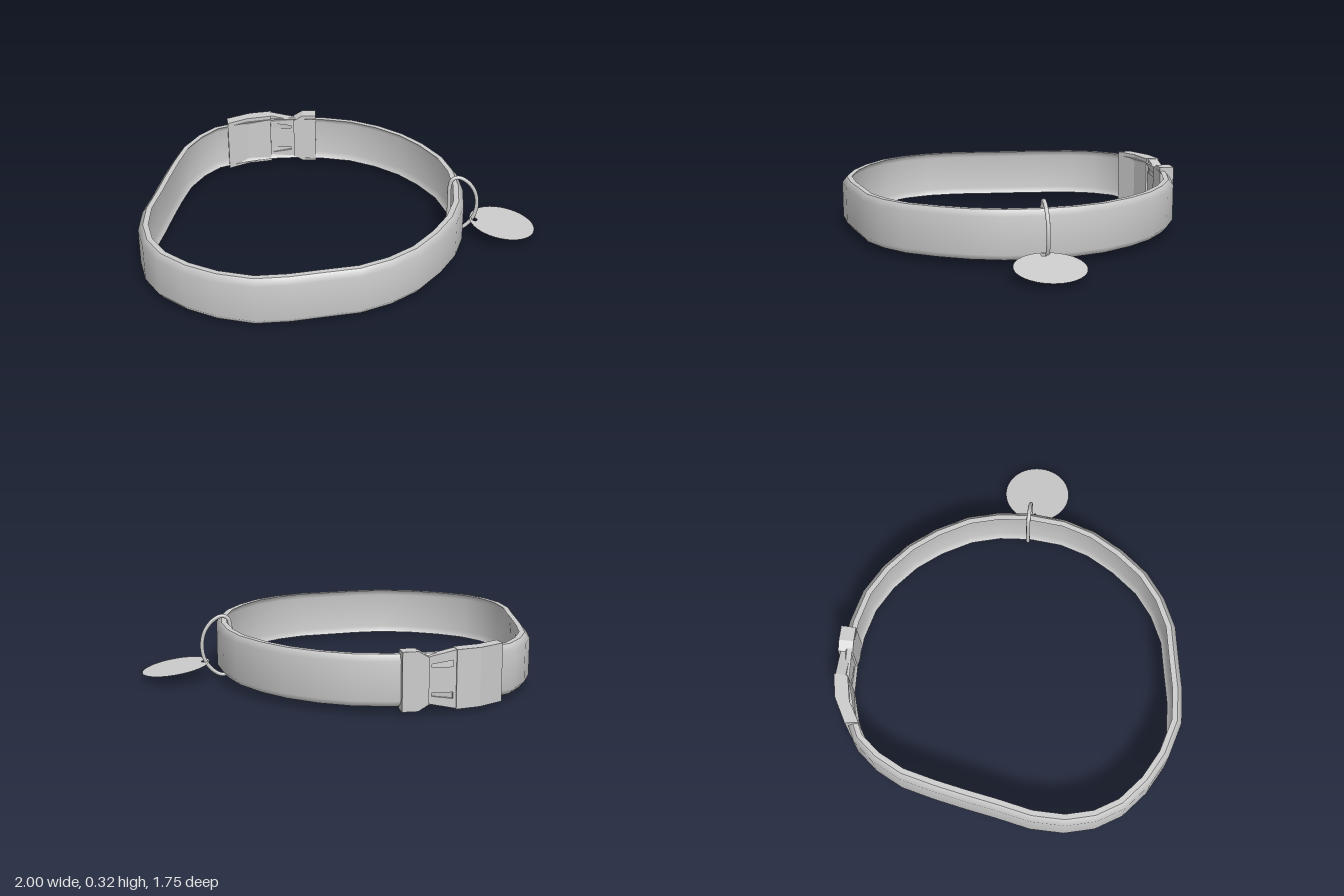
import * as THREE from 'three';
import { mergeGeometries } from 'three/addons/utils/BufferGeometryUtils.js';

const material = new THREE.MeshStandardMaterial({ color: 0xcccccc });
const thinMaterial = new THREE.MeshStandardMaterial({ color: 0xcccccc, side: THREE.DoubleSide });

// Outer outline of the band seen from above, as [x, z]
const OUTLINE = [
  [0.62, 0], [0.605, 0.18], [0.555, 0.34], [0.47, 0.49], [0.36, 0.63], [0.23, 0.73], [0.08, 0.8],
  [-0.09, 0.83], [-0.25, 0.86], [-0.42, 0.87], [-0.6, 0.82], [-0.75, 0.74], [-0.88, 0.63],
  [-0.96, 0.5], [-1, 0.35], [-1, 0.18], [-0.965, 0], [-0.94, -0.15], [-0.91, -0.31],
  [-0.87, -0.48], [-0.8, -0.62], [-0.71, -0.73], [-0.57, -0.8], [-0.41, -0.85], [-0.25, -0.86],
  [-0.09, -0.85], [0.08, -0.81], [0.23, -0.73], [0.365, -0.62], [0.47, -0.49], [0.56, -0.33], [0.605, -0.17],
];

// Sweeps an open profile of [inset, y] round the outline, smooth along both directions
function sweep(profile) {
  const n = OUTLINE.length, m = profile.length, pos = [], index = [];
  for (let i = 0; i < n; i++) {
    const [x, z] = OUTLINE[i];
    const [ax, az] = OUTLINE[(i + n - 1) % n], [bx, bz] = OUTLINE[(i + 1) % n];
    const len = Math.hypot(bx - ax, bz - az);
    const inX = -(bz - az) / len, inZ = (bx - ax) / len;
    const sag = 0.03 * Math.max(0, 0.5 * z - 0.4 * x); // the band droops at one corner
    for (const [inset, y] of profile) pos.push(x + inX * inset, y - sag, z + inZ * inset);
    for (let j = 0; j < m - 1; j++) {
      const a = i * m + j, b = ((i + 1) % n) * m + j;
      index.push(a, a + 1, b, b, a + 1, b + 1);
    }
  }
  const g = new THREE.BufferGeometry();
  g.setAttribute('position', new THREE.Float32BufferAttribute(pos, 3));
  g.setIndex(index);
  g.computeVertexNormals();
  return g;
}

function polygon(points) {
  return new THREE.Shape(points.map(([x, y]) => new THREE.Vector2(x, y)));
}

function add(parent, name, geometry, mat = material) {
  const mesh = new THREE.Mesh(geometry, mat);
  mesh.name = name;
  parent.add(mesh);
  return mesh;
}

// Plate standing in the xy plane, between two z values
function plate(shape, z0, z1) {
  return new THREE.ExtrudeGeometry(shape, { depth: z1 - z0, bevelEnabled: false }).translate(0, 0, z0);
}

// Mirrors the upper half of an outline about the buckle's mid height
function mirrored(upper) {
  const mid = 0.16;
  const top = upper.map(([x, h]) => [x, mid + h]);
  const bottom = upper.map(([x, h]) => [x, mid - h]).reverse();
  return polygon([...top, ...bottom]);
}

function createBuckle() {
  const buckle = new THREE.Group();
  buckle.name = 'buckle';

  // Curved receiving half
  const side = polygon([[-0.635, 0.78], [-0.51, 0.85], [-0.39, 0.875], [-0.39, 0.805], [-0.52, 0.775], [-0.625, 0.712]]);
  const body = new THREE.ExtrudeGeometry(side, { depth: 0.28, bevelEnabled: false });
  body.rotateX(-Math.PI / 2).translate(0, 0.02, 0);
  add(buckle, 'buckleSocket', body);

  // Tapered tongue with a slot beside each side prong
  const tongue = mirrored([[-0.39, 0.138], [-0.26, 0.11]]);
  for (const s of [-1, 1]) {
    tongue.holes.push(new THREE.Path([
      [-0.375, 0.09], [-0.275, 0.075], [-0.275, 0.06], [-0.375, 0.06],
    ].map(([x, h]) => new THREE.Vector2(x, 0.16 + s * h))));
  }
  add(buckle, 'buckleTongue', plate(tongue, -0.867, -0.815));

  // Plug half that holds the strap end
  add(buckle, 'bucklePlug', plate(mirrored([[-0.26, 0.11], [-0.21, 0.14], [-0.135, 0.14]]), -0.88, -0.805));
  return buckle;
}

export function createModel() {
  const model = new THREE.Group();
  model.name = 'collar';

  // Strap: bowed outer and inner faces with crisp flat rims
  const outer = [[0.025, 0.035], [0, 0.065], [0, 0.25], [0.025, 0.28]];
  const inner = [[0.052, 0.28], [0.03, 0.25], [0.03, 0.065], [0.052, 0.035]];
  add(model, 'strap', mergeGeometries([
    sweep(outer), sweep([outer[3], inner[0]]), sweep(inner), sweep([inner[3], outer[0]]),
  ]));

  model.add(createBuckle());

  // D-shaped ring round the strap
  const ringPath = new THREE.CatmullRomCurve3([
    [0.553, 0.06], [0.565, 0.025], [0.595, 0.013], [0.64, 0.035], [0.682, 0.09], [0.697, 0.165],
    [0.682, 0.24], [0.64, 0.295], [0.595, 0.317], [0.565, 0.305], [0.553, 0.27], [0.553, 0.165],
  ].map(([x, y]) => new THREE.Vector3(x, y, -0.01)), true);
  add(model, 'ring', new THREE.TubeGeometry(ringPath, 64, 0.01, 10, true));

  // Thin round tag with a hole for the ring, tipped down at its outer end
  const disc = new THREE.Shape().absarc(0, 0, 0.171, 0, Math.PI * 2);
  disc.holes.push(new THREE.Path().absarc(-0.145, 0, 0.015, 0, Math.PI * 2, true));
  const tag = add(model, 'tag', new THREE.ShapeGeometry(disc, 24).rotateX(-Math.PI / 2), thinMaterial);
  tag.position.set(0.83, 0.06, 0.01);
  tag.rotation.z = -0.15;

  return model;
}
